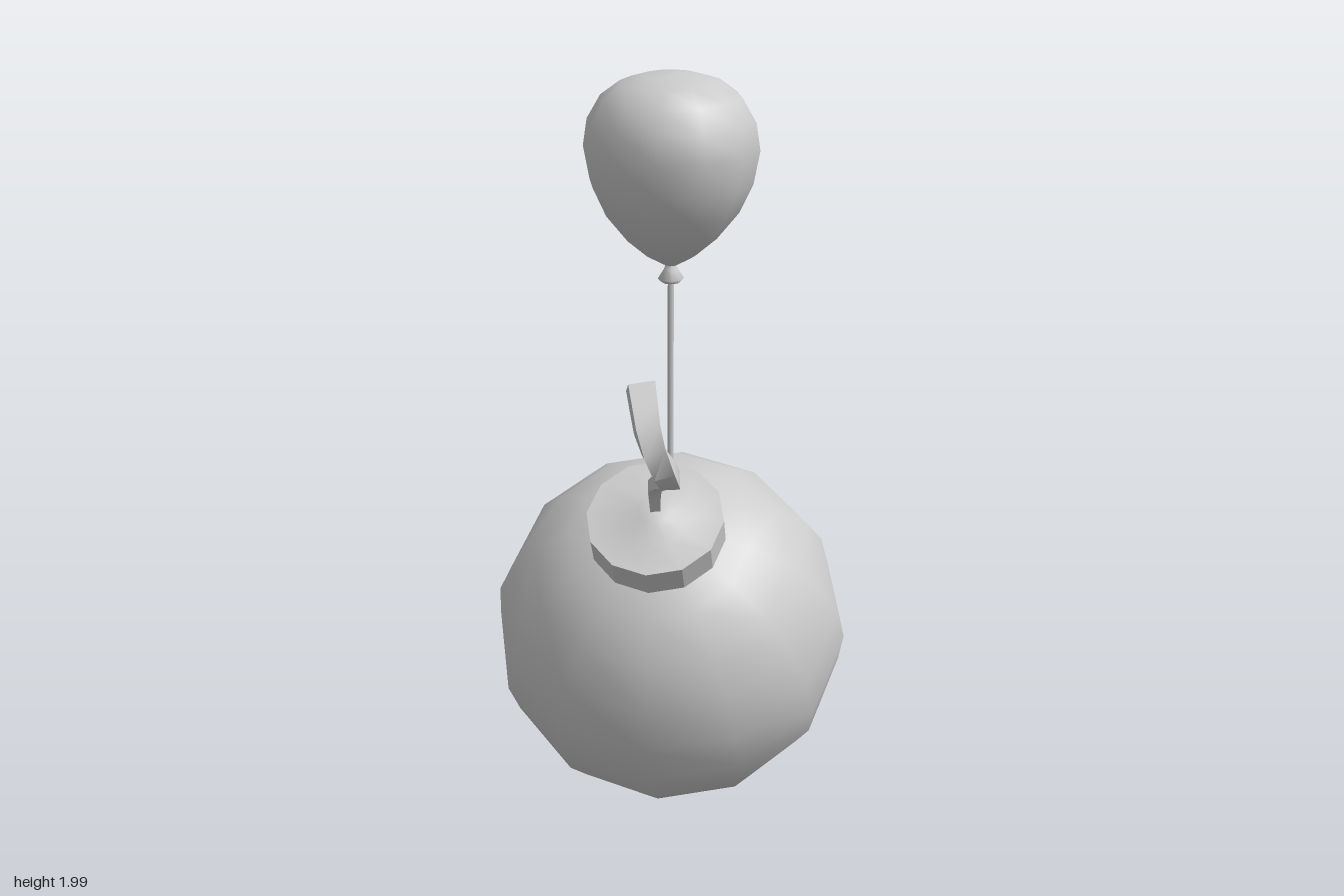
import * as THREE from 'three';
import { toCreasedNormals, mergeVertices } from 'three/addons/utils/BufferGeometryUtils.js';

const grey = new THREE.MeshStandardMaterial({ color: 0xcccccc });
const thin = new THREE.MeshStandardMaterial({ color: 0xcccccc, side: THREE.DoubleSide });

function part(name, geometry, material = grey) {
  const mesh = new THREE.Mesh(geometry, material);
  mesh.name = name;
  return mesh;
}

// Profile given as [radius, height] pairs from bottom to top
function lathe(profile, sides) {
  return new THREE.LatheGeometry(profile.map(([r, y]) => new THREE.Vector2(r, y)), sides);
}

// Square bar swept along a path, widening from r0 to r1 (centre to corner)
function taperedBar(points, r0, r1, steps) {
  const curve = new THREE.CatmullRomCurve3(points.map((p) => new THREE.Vector3(...p)));
  const reference = new THREE.Vector3(1, 0, -1).normalize();
  const positions = [], index = [];
  for (let i = 0; i <= steps; i++) {
    const t = i / steps;
    const centre = curve.getPointAt(t);
    const tangent = curve.getTangentAt(t);
    const side = reference.clone().addScaledVector(tangent, -reference.dot(tangent)).normalize();
    const up = tangent.clone().cross(side);
    const r = THREE.MathUtils.lerp(r0, r1, t);
    for (let k = 0; k < 4; k++) {
      const a = Math.PI / 4 + (k * Math.PI) / 2;
      const v = centre.clone()
        .addScaledVector(side, r * Math.cos(a))
        .addScaledVector(up, r * Math.sin(a));
      positions.push(v.x, v.y, v.z);
      if (i < steps) {
        const p = i * 4 + k, q = i * 4 + ((k + 1) % 4);
        index.push(p, q, q + 4, p, q + 4, p + 4);
      }
    }
  }
  const e = steps * 4;
  index.push(0, 2, 1, 0, 3, 2, e, e + 1, e + 2, e, e + 2, e + 3);
  const geometry = new THREE.BufferGeometry();
  geometry.setAttribute('position', new THREE.Float32BufferAttribute(positions, 3));
  geometry.setIndex(index);
  geometry.computeVertexNormals();
  return toCreasedNormals(geometry, 0.7);
}

export function createModel() {
  const model = new THREE.Group();
  model.name = 'bombWithBalloon';

  // Round body and its cap share one tilted axis
  const bomb = new THREE.Group();
  bomb.name = 'bomb';
  bomb.position.set(0, 0.485, -0.04);
  const axis = new THREE.Vector3(0.33, 1, 0.56).normalize();
  bomb.quaternion.setFromUnitVectors(new THREE.Vector3(0, 1, 0), axis);
  bomb.add(part('body', new THREE.SphereGeometry(0.478, 12, 12)));

  // Cap with a softly raised middle
  const cap = lathe([[0, 0.43], [0.177, 0.44], [0.177, 0.522], [0.09, 0.528], [0.04, 0.546], [0, 0.55]], 12);
  bomb.add(part('cap', toCreasedNormals(cap, 0.5)));
  model.add(bomb);

  // Fuse curls out of the cap and back over itself
  model.add(part('fuse', taperedBar([
    [0.145, 0.94, 0.205], [0.18, 1.03, 0.25], [0.27, 1.085, 0.31], [0.34, 1.13, 0.39],
    [0.37, 1.185, 0.455], [0.35, 1.245, 0.475], [0.285, 1.365, 0.432],
  ], 0.018, 0.045, 12)));

  // Balloon, knot and string stand above the centre of the body
  const balloon = new THREE.Group();
  balloon.name = 'balloon';
  balloon.position.z = -0.04;
  const skin = lathe([
    [0, 1.5], [0.02, 1.51], [0.065, 1.535], [0.118, 1.58], [0.175, 1.65], [0.21, 1.725],
    [0.226, 1.81], [0.215, 1.88], [0.18, 1.94], [0.13, 1.977], [0.07, 1.995], [0, 2],
  ], 12);
  skin.deleteAttribute('uv');
  balloon.add(part('balloonSkin', skin));
  balloon.add(part('knot', lathe([[0.008, 1.478], [0.024, 1.462], [0.034, 1.472], [0.018, 1.497], [0.012, 1.515]], 8), thin));
  const string = new THREE.CylinderGeometry(0.008, 0.008, 0.56, 6);
  string.translate(0, 1.22, 0);
  balloon.add(part('string', mergeVertices(string)));
  model.add(balloon);

  return model;
}
